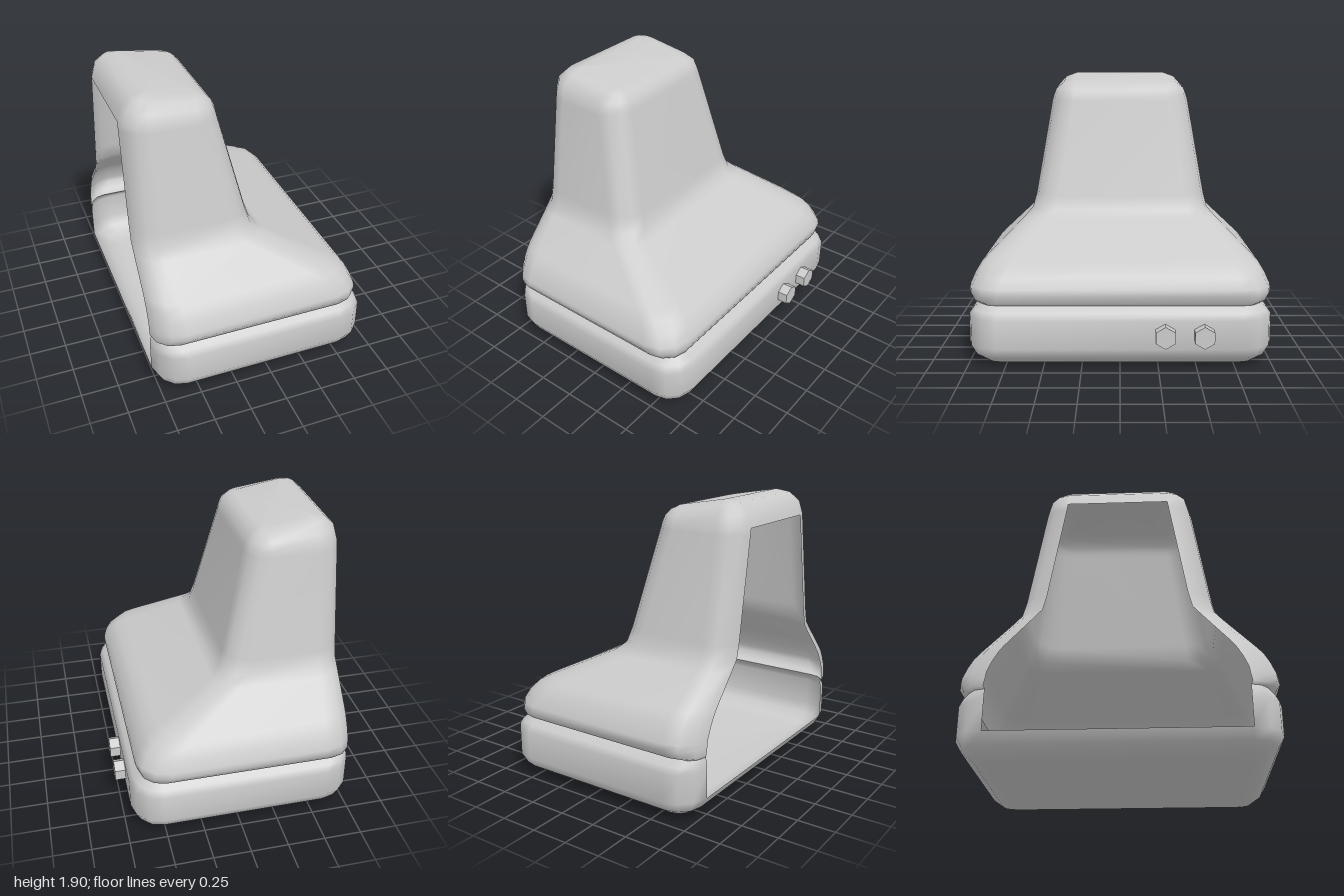
import * as THREE from 'three';

const CORNER_STEPS = 3;
const PER_RING = 4 * (CORNER_STEPS + 1);

// One rounded-rectangle ring, running from the back right corner round the front to the back left.
// tilt slopes the ring down towards +x, pivoting at x = -0.6.
function ring([y, xBack, xFront, zHalf, r, tilt = 0]) {
  const centres = [
    [xBack + r, -(zHalf - r)], [xFront - r, -(zHalf - r)],
    [xFront - r, zHalf - r], [xBack + r, zHalf - r],
  ];
  const points = [];
  centres.forEach(([cx, cz], corner) => {
    for (let s = 0; s <= CORNER_STEPS; s++) {
      const a = -Math.PI + (corner + s / CORNER_STEPS) * Math.PI / 2;
      const x = cx + r * Math.cos(a);
      points.push(x, y - tilt * (x + 0.6), cz + r * Math.sin(a));
    }
  });
  return points;
}

// Skins a stack of rings. The flat back stays open except where isClosed(row) holds.
function shell(rows, isClosed, capRow) {
  const positions = rows.flatMap(ring);
  const index = [];
  for (let i = 0; i < rows.length - 1; i++) {
    const count = isClosed(i) ? PER_RING : PER_RING - 1;
    for (let j = 0; j < count; j++) {
      const k = (j + 1) % PER_RING;
      const a = i * PER_RING + j, b = i * PER_RING + k;
      index.push(a, a + PER_RING, b, b, a + PER_RING, b + PER_RING);
    }
  }
  // End cap as a fan round its centre
  const [y, xBack, xFront, , , tilt = 0] = rows[capRow];
  const cx = (xBack + xFront) / 2;
  const centre = positions.length / 3;
  positions.push(cx, y - tilt * (cx + 0.6), 0);
  for (let j = 0; j < PER_RING; j++) {
    const a = capRow * PER_RING + j, b = capRow * PER_RING + (j + 1) % PER_RING;
    if (capRow === 0) index.push(centre, a, b);
    else index.push(centre, b, a);
  }
  const geometry = new THREE.BufferGeometry();
  geometry.setAttribute('position', new THREE.Float32BufferAttribute(positions, 3));
  geometry.setIndex(index);
  geometry.computeVertexNormals();
  return geometry;
}

export function createModel() {
  const group = new THREE.Group();
  const skin = new THREE.MeshStandardMaterial({ color: 0xcccccc, side: THREE.DoubleSide });
  const add = (name, geometry, material) => {
    const mesh = new THREE.Mesh(geometry, material);
    mesh.name = name;
    group.add(mesh);
    return mesh;
  };

  // Base tray: y, back x, front x, half depth, corner radius
  const baseRows = [
    [0, -0.58, 0.51, 0.8, 0.01],
    [0.02, -0.67, 0.60, 0.89, 0.10],
    [0.07, -0.74, 0.67, 0.96, 0.16],
    [0.14, -0.78, 0.71, 1.0, 0.2],
    [0.33, -0.78, 0.71, 1.0, 0.2],
    [0.37, -0.78, 0.68, 0.97, 0.17],
    [0.41, -0.77, 0.63, 0.92, 0.12],
  ];
  add('base', shell(baseRows, i => i < 3, 0), skin);

  // Hood: flared skirt, sloping shoulder and tapering tower with a slanted top
  const hoodRows = [
    [0.41, -0.77, 0.63, 0.92, 0.12],
    [0.43, -0.78, 0.645, 0.97, 0.16],
    [0.48, -0.78, 0.665, 1.0, 0.2],
    [0.52, -0.78, 0.66, 0.995, 0.2],
    [0.59, -0.78, 0.625, 0.965, 0.2],
    [0.65, -0.78, 0.57, 0.93, 0.2],
    [0.69, -0.78, 0.495, 0.89, 0.19],
    [0.885, -0.78, 0.095, 0.68, 0.16],
    [0.94, -0.78, 0.035, 0.63, 0.16],
    [1.04, -0.78, 0.005, 0.605, 0.16],
    [1.70, -0.78, -0.15, 0.495, 0.16],
    [1.735, -0.78, -0.157, 0.485, 0.155],
    [1.81, -0.755, -0.175, 0.465, 0.135, 0.08],
    [1.87, -0.69, -0.21, 0.41, 0.09, 0.14],
    [1.9, -0.6, -0.26, 0.33, 0.01, 0.176],
  ];
  add('hood', shell(hoodRows, i => i >= 11, hoodRows.length - 1), skin);

  // Two hexagonal knobs on the left wall
  const knob = new THREE.CylinderGeometry(0.073, 0.073, 0.1, 6, 1, false, Math.PI / 2);
  knob.rotateZ(-Math.PI / 2);
  const flat = new THREE.MeshStandardMaterial({ color: 0xcccccc, flatShading: true });
  for (const z of [-0.29, -0.54]) add('knob', knob, flat).position.set(0.73, 0.24, z);

  return group;
}
